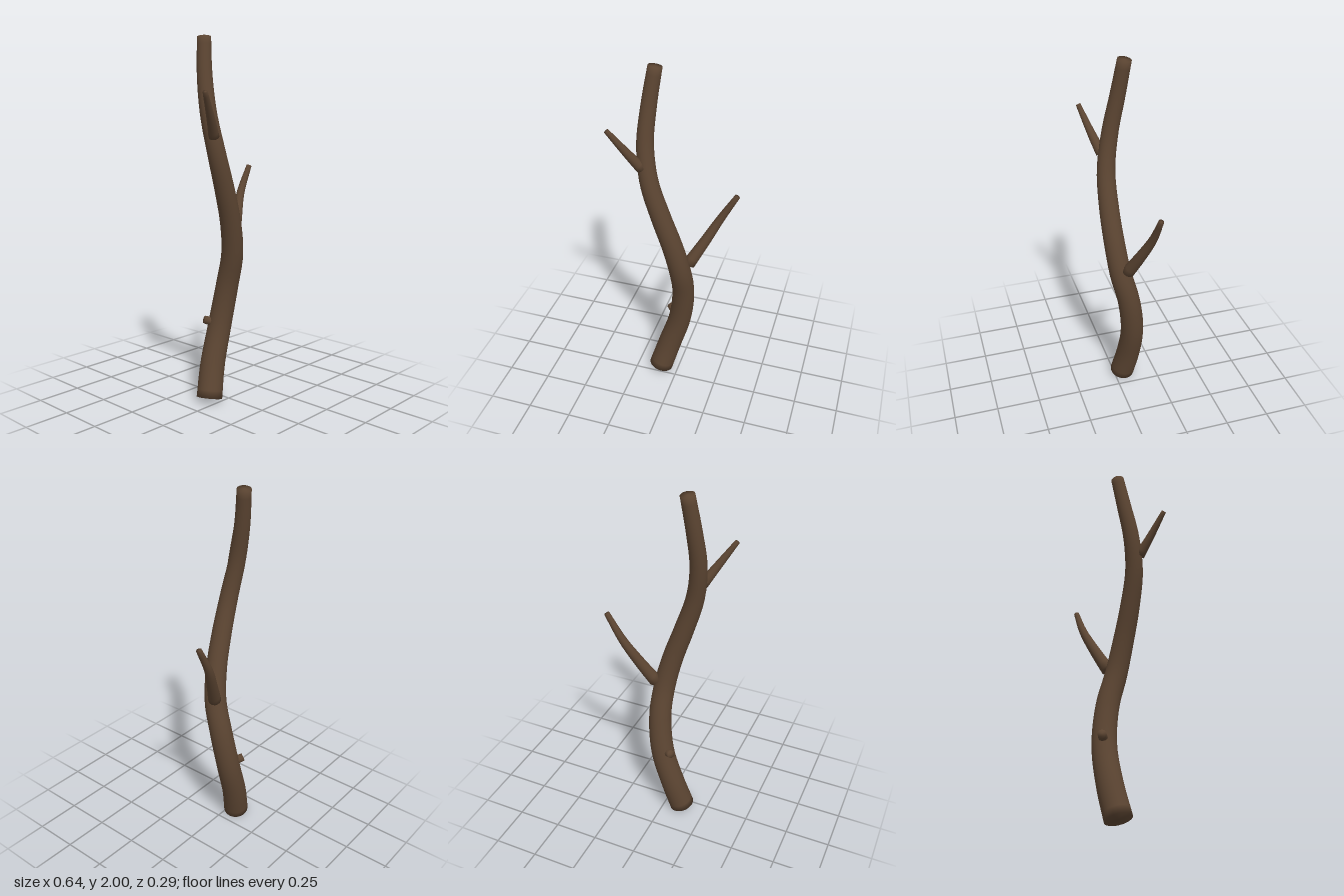
import * as THREE from 'three';

// Tapered, capped limb swept along a smooth curve through the given points
function limb(name, points, radii, material, segments, sides) {
  const curve = new THREE.CatmullRomCurve3(points.map((p) => new THREE.Vector3(...p)));
  const frames = curve.computeFrenetFrames(segments, false);
  const pos = [];
  const index = [];
  for (let i = 0; i <= segments; i++) {
    const t = i / segments;
    const c = curve.getPointAt(t);
    const k = t * (radii.length - 1);
    const k0 = Math.min(Math.floor(k), radii.length - 2);
    const r = THREE.MathUtils.lerp(radii[k0], radii[k0 + 1], k - k0);
    for (let j = 0; j < sides; j++) {
      const a = (j / sides) * Math.PI * 2;
      const p = c.clone()
        .addScaledVector(frames.normals[i], Math.cos(a) * r)
        .addScaledVector(frames.binormals[i], Math.sin(a) * r);
      pos.push(p.x, p.y, p.z);
    }
  }
  const start = pos.length / 3;
  pos.push(...curve.getPointAt(0).toArray(), ...curve.getPointAt(1).toArray());
  const last = segments * sides;
  for (let j = 0; j < sides; j++) {
    const n = (j + 1) % sides;
    for (let i = 0; i < segments; i++) {
      const a = i * sides + j, b = i * sides + n;
      index.push(a, b, b + sides, a, b + sides, a + sides);
    }
    // end caps share the rim, so the ends shade softly
    index.push(start, n, j, start + 1, last + j, last + n);
  }
  const geometry = new THREE.BufferGeometry();
  geometry.setAttribute('position', new THREE.Float32BufferAttribute(pos, 3));
  geometry.setIndex(index);
  geometry.computeVertexNormals();
  const mesh = new THREE.Mesh(geometry, material);
  mesh.name = name;
  return mesh;
}

export function createModel() {
  const group = new THREE.Group();
  group.name = 'branch';
  const bark = new THREE.MeshStandardMaterial({ color: 0x5c4532 });
  bark.name = 'bark brown';

  // Main winding stem
  group.add(limb('mainStem', [
    [-0.105, 0.022, -0.05], [-0.055, 0.2, -0.073], [0.008, 0.42, -0.076],
    [0.036, 0.65, -0.045], [0.028, 0.83, 0], [-0.01, 1.01, 0.024],
    [-0.07, 1.2, 0.036], [-0.13, 1.4, 0.034], [-0.157, 1.6, 0.004],
    [-0.146, 1.8, -0.034], [-0.12, 1.995, -0.063],
  ], [0.072, 0.066, 0.061, 0.054, 0.045, 0.037], bark, 48, 24));

  // Side twigs
  group.add(limb('leftTwig', [
    [0.072, 0.87, -0.03], [0.145, 1.0, -0.074], [0.222, 1.145, -0.115], [0.305, 1.295, -0.125],
  ], [0.036, 0.026, 0.015], bark, 12, 14));
  group.add(limb('rightTwig', [
    [-0.165, 1.485, 0.05], [-0.222, 1.575, 0.085], [-0.31, 1.713, 0.132],
  ], [0.029, 0.021, 0.013], bark, 10, 14));

  // Small broken stub on the back
  group.add(limb('stub', [
    [-0.015, 0.43, -0.085], [-0.042, 0.442, -0.107], [-0.068, 0.453, -0.126],
  ], [0.028, 0.025, 0.022], bark, 4, 12));

  return group;
}
